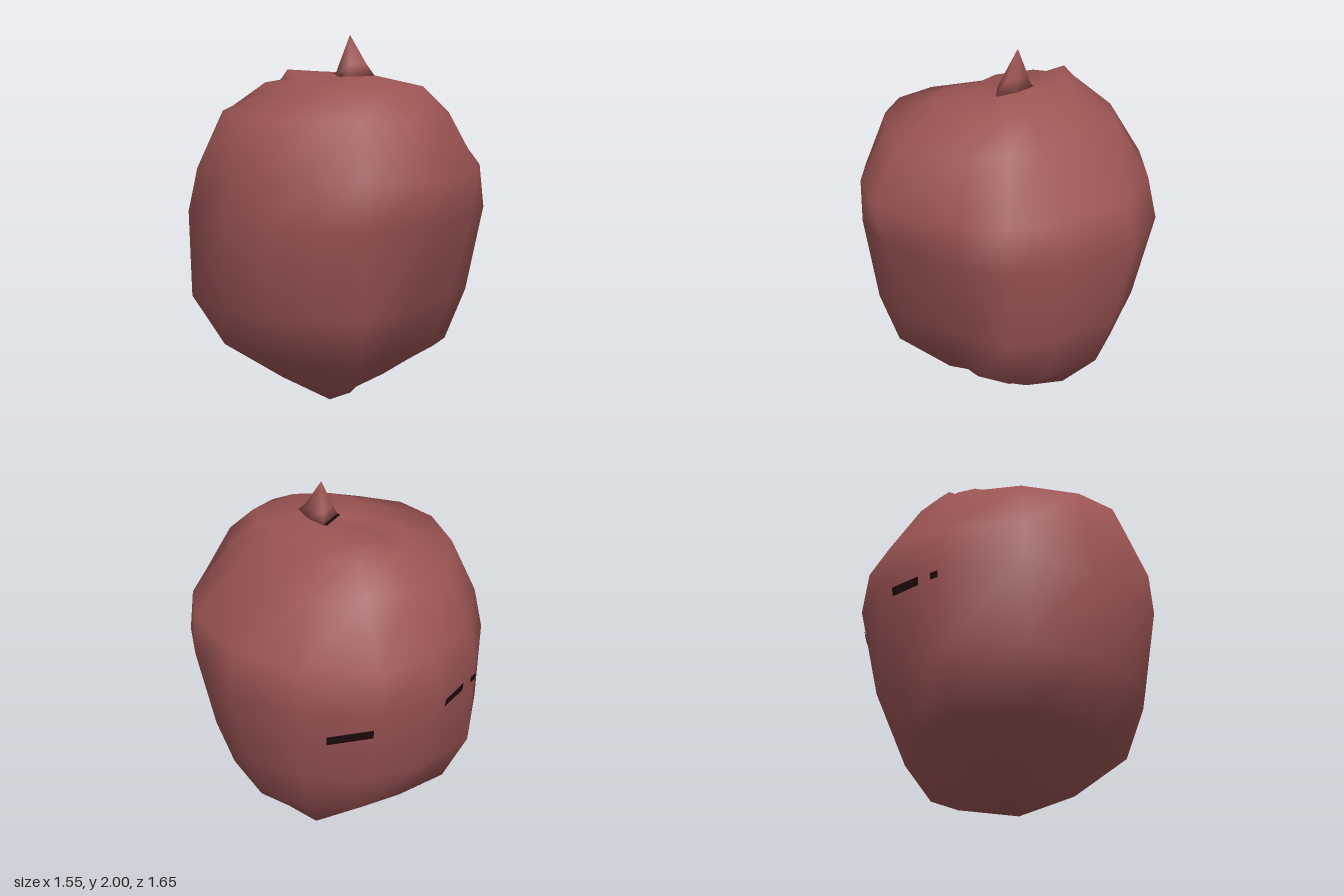
import * as THREE from 'three';

const material = (name, color) => {
  const m = new THREE.MeshStandardMaterial({ color, side: THREE.DoubleSide });
  m.name = name;
  return m;
};
const skin = material('dull red skin', 0x9c5454);
const dark = material('dark core', 0x1e0c0c);

// Skin over rings of points (bottom to top), closed by a tip at each end.
function loft(name, mat, bottom, rings, top) {
  const n = rings[0].length;
  const points = [...rings.flat(), bottom, top];
  const low = points.length - 2, high = points.length - 1;
  const last = (rings.length - 1) * n;
  const index = [];
  for (let j = 0; j < n; j++) {
    const k = (j + 1) % n;
    index.push(low, j, k);
    for (let i = 0; i < last; i += n) {
      index.push(i + j, i + n + j, i + k, i + k, i + n + j, i + n + k);
    }
    index.push(last + j, high, last + k);
  }
  return surface(name, mat, points, index);
}

function surface(name, mat, points, index) {
  const geometry = new THREE.BufferGeometry();
  geometry.setAttribute('position', new THREE.Float32BufferAttribute(points.flat(), 3));
  geometry.setIndex(index);
  geometry.computeVertexNormals();
  const mesh = new THREE.Mesh(geometry, mat);
  mesh.name = name;
  return mesh;
}

// Column directions in degrees, from +x towards +z, and radii per level.
const columns = [-14, 20, 40, 58, 95, 120, 137, 158, 179, 207, 238, 265, 288, 317];
const levels = [
  [0.13, [0.37, 0.28, 0.24, 0.20, 0.16, 0.34, 0.32, 0.27, 0.25, 0.32, 0.34, 0.28, 0.33, 0.42]],
  [0.34, [0.58, 0.57, 0.58, 0.53, 0.44, 0.62, 0.57, 0.56, 0.56, 0.64, 0.66, 0.57, 0.57, 0.57]],
  [0.62, [0.68, 0.66, 0.69, 0.62, 0.65, 0.72, 0.73, 0.74, 0.78, 0.81, 0.79, 0.73, 0.71, 0.68]],
  [1.08, [0.79, 0.75, 0.78, 0.74, 0.77, 0.79, 0.80, 0.77, 0.77, 0.82, 0.81, 0.83, 0.81, 0.79]],
  [1.31, [0.74, 0.74, 0.755, 0.77, 0.83, 0.79, 0.78, 0.74, 0.73, 0.77, 0.77, 0.79, 0.78, 0.74]],
  [1.61, [0.45, 0.47, 0.53, 0.60, 0.69, 0.64, 0.66, 0.68, 0.66, 0.63, 0.62, 0.60, 0.59, 0.57]],
  [1.74, [0.28, 0.30, 0.38, 0.46, 0.44, 0.40, 0.36, 0.31, 0.25, 0.33, 0.43, 0.48, 0.42, 0.33]],
];
const polar = (j, r, y) => {
  const a = THREE.MathUtils.degToRad(columns[j]);
  return [r * Math.cos(a), y, r * Math.sin(a)];
};
const rings = levels.map(([y, radii]) => radii.map((r, j) => polar(j, r, y)));

// Crown: dips beside the stem and rises to a lobe at the back.
const crownRadii = [0.14, 0.13, 0.15, 0.20, 0.17, 0.14, 0.12, 0.11, 0.11, 0.12, 0.20, 0.42, 0.32, 0.20];
const crownHeights = [1.80, 1.79, 1.79, 1.79, 1.79, 1.79, 1.78, 1.77, 1.75, 1.73, 1.76, 1.80, 1.79, 1.79];
rings.push(crownRadii.map((r, j) => polar(j, r, crownHeights[j])));

// Point just outside the body between two columns, on the band between levels 2 and 3.
function bandPoint(column, f) {
  const j = Math.floor(column), s = column - j;
  const mix = (a, b, t) => a.map((v, i) => v + (b[i] - v) * t);
  const [x, y, z] = mix(
    mix(rings[2][j], rings[2][j + 1], s),
    mix(rings[3][j], rings[3][j + 1], s), f);
  return [x * 1.008, y, z * 1.008];
}

export function createModel() {
  const group = new THREE.Group();
  group.name = 'fruit';

  // lumpy body
  group.add(loft('body', skin, [-0.08, 0, 0.01], rings, [0.05, 1.77, 0]));

  // dark splits along the back: start and end column, height at each, half thickness
  for (const [c0, c1, f0, f1, h] of [
    [12.05, 12.65, 0.74, 0.62, 0.06],
    [10.35, 10.8, 0.9, 0.88, 0.05],
    [10.02, 10.15, 0.9, 0.9, 0.04],
  ]) {
    const corners = [bandPoint(c0, f0 - h), bandPoint(c0, f0 + h), bandPoint(c1, f1 + h), bandPoint(c1, f1 - h)];
    group.add(surface('skinSplit', dark, corners, [0, 1, 3, 3, 1, 2]));
  }

  // short pointed stem, flared at the foot, in a thin dark rim
  const foot = [[0.12, 0.05], [0.1, 0.17], [0, 0.08], [-0.03, 0], [0.1, -0.07]];
  const waist = [[0.108, 0.03], [0.1, 0.1], [0.02, 0.06], [-0.003, 0], [0.095, -0.05]];
  const ring = (outline, y) => outline.map(([x, z]) => [x, y, z]);
  group.add(loft('stem', skin, [0.05, 1.75, 0.03], [ring(foot, 1.79), ring(waist, 1.85)], [0.07, 2, 0]));
  const rim = foot.map(([x, z]) => [0.045 + (x - 0.05) * 1.02, 0.015 + (z - 0.03) * 1.02]);
  group.add(loft('stemRim', dark, [0.05, 1.79, 0.02], [ring(rim, 1.795)], [0.05, 1.8, 0.02]));

  return group;
}
